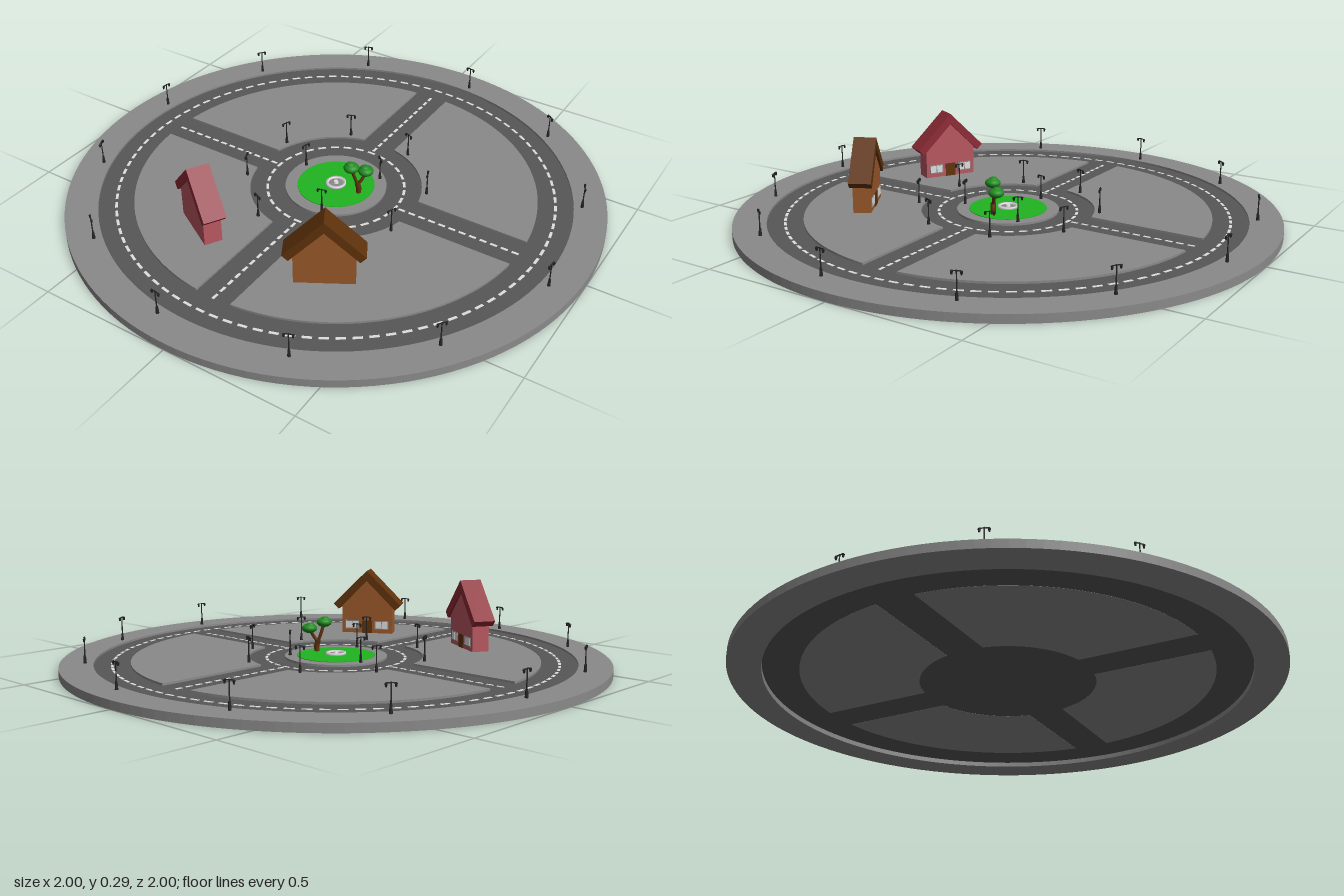
import * as THREE from 'three';

const mat = (name, color) => {
  const m = new THREE.MeshStandardMaterial({ color });
  m.name = name;
  return m;
};

export function createModel() {
  const M = {
    paving: mat('paving grey', 0x8a8a8a),
    road: mat('asphalt', 0x575757),
    white: mat('off white', 0xdedede),
    grass: mat('grass green', 0x22b422),
    leaf: mat('leaf green', 0x1e8c1e),
    redWall: mat('red wall', 0xb9575f),
    redRoof: mat('red roof', 0x8e2b36),
    brownWall: mat('brown wall', 0x9b592b),
    brownRoof: mat('dark brown', 0x5f320b),
    iron: mat('iron', 0x262626),
  };
  const root = new THREE.Group();
  root.name = 'roundaboutTown';
  const TOP = 0.03, ROAD = 0.022, BED = 0.018;

  const add = (parent, name, geo, material, x = 0, y = 0, z = 0) => {
    const m = new THREE.Mesh(geo, material);
    m.name = name;
    m.position.set(x, y, z);
    parent.add(m);
    return m;
  };
  const group = (parent, name) => {
    const g = new THREE.Group();
    g.name = name;
    parent.add(g);
    return g;
  };
  // Place on a circle: local x points outward, local z along the circle
  const polar = (obj, r, a) => {
    obj.position.x = r * Math.cos(a);
    obj.position.z = r * Math.sin(a);
    obj.rotation.y = -a;
  };
  const slab = (shape, y0, y1) => new THREE.ExtrudeGeometry(shape,
    { depth: y1 - y0, bevelEnabled: false, curveSegments: 64 }).rotateX(-Math.PI / 2).translate(0, y0, 0);
  const ring = (outer, inner, y0, y1) => {
    const s = new THREE.Shape().absarc(0, 0, outer, 0, Math.PI * 2, false);
    s.holes.push(new THREE.Path().absarc(0, 0, inner, 0, Math.PI * 2, true));
    return slab(s, y0, y1);
  };

  // Ground: outer pavement, recessed road bed, four blocks, centre island
  add(root, 'outerPavement', ring(1, 0.88, 0, TOP), M.paving);
  add(root, 'roadBed', new THREE.CylinderGeometry(0.88, 0.88, ROAD - BED, 128), M.road, 0, (ROAD + BED) / 2, 0);
  const h = 0.07, ro = 0.75, ri = 0.322;
  const ao = Math.asin(h / ro), ai = Math.asin(h / ri);
  for (let i = 0; i < 4; i++) {
    const s = new THREE.Shape();
    s.absarc(0, 0, ro, ao, Math.PI / 2 - ao, false);
    s.absarc(0, 0, ri, Math.PI / 2 - ai, ai, true);
    s.closePath();
    const block = add(root, 'pavedBlock', slab(s, BED - 0.0005, TOP), M.paving);
    block.rotation.y = i * Math.PI / 2;
  }
  add(root, 'islandPavement', new THREE.CylinderGeometry(0.19, 0.19, TOP - ROAD, 64), M.paving, 0, (TOP + ROAD) / 2, 0);
  add(root, 'lawn', new THREE.CylinderGeometry(0.145, 0.145, 0.004, 64), M.grass, 0, TOP, 0);

  // Dashed road markings
  const marks = group(root, 'roadMarkings');
  const dashRing = (r, n) => {
    const geo = new THREE.BoxGeometry(0.01, 0.002, (Math.PI * 2 * r / n) * 0.62);
    for (let i = 0; i < n; i++) polar(add(marks, 'dash', geo, M.white, 0, ROAD + 0.0005, 0), r, (i / n) * Math.PI * 2);
  };
  dashRing(0.815, 96);
  dashRing(0.257, 32);
  const dash = new THREE.BoxGeometry(0.026, 0.002, 0.01);
  for (let k = 0; k < 4; k++)
    for (let i = 0; i < 12; i++)
      polar(add(marks, 'dash', dash, M.white, 0, ROAD + 0.0005, 0), 0.285 + i * 0.041, k * Math.PI / 2);

  // Fountain
  const fountain = group(root, 'fountain');
  const rim = [[0.028, 0], [0.038, 0], [0.038, 0.011], [0.028, 0.011], [0.028, 0]].map(p => new THREE.Vector2(...p));
  add(fountain, 'basinRim', new THREE.LatheGeometry(rim, 24), M.white, 0, TOP, 0);
  add(fountain, 'basinFloor', new THREE.CylinderGeometry(0.029, 0.029, 0.006, 24), M.paving, 0, TOP + 0.003, 0);
  add(fountain, 'spout', new THREE.CylinderGeometry(0.008, 0.012, 0.014, 12), M.white, 0, TOP + 0.007, 0);

  // Street lamps with two lanterns on a crossbar along the kerb
  const baseGeo = new THREE.CylinderGeometry(0.004, 0.006, 0.028, 8);
  const poleGeo = new THREE.CylinderGeometry(0.002, 0.0025, 0.095, 8);
  const barGeo = new THREE.BoxGeometry(0.003, 0.003, 0.034);
  const lanternGeo = new THREE.CylinderGeometry(0.005, 0.003, 0.011, 6);
  const lamps = (count, r, offset) => {
    for (let i = 0; i < count; i++) {
      const g = group(root, 'streetLamp');
      add(g, 'lampBase', baseGeo, M.iron, 0, TOP + 0.014, 0);
      add(g, 'lampPole', poleGeo, M.iron, 0, TOP + 0.0475, 0);
      add(g, 'crossbar', barGeo, M.iron, 0, 0.122, 0);
      for (const s of [-1, 1]) add(g, 'lantern', lanternGeo, M.iron, 0, 0.115, s * 0.015);
      polar(g, r, (offset + i * 360 / count) * Math.PI / 180);
    }
  };
  lamps(12, 0.91, 6.4);
  lamps(8, 0.342, 22.5);
  lamps(3, 0.17, 75);

  // Houses: gable front faces the island
  const house = (name, x, z, turn, wall, roof) => {
    const g = group(root, name);
    const w = 0.105, d = 0.066, eave = 0.113, apex = 0.218;
    const s = new THREE.Shape([[-w, 0], [w, 0], [w, eave], [0, apex], [-w, eave]].map(p => new THREE.Vector2(...p)));
    add(g, 'walls', new THREE.ExtrudeGeometry(s, { depth: d, bevelEnabled: false }), wall, 0, 0, -d / 2);
    const t = 0.03 * Math.SQRT2, e = 0.119, c = 0.021;
    const r = new THREE.Shape([[0, apex + t], [-e - c, apex + t - e - c], [-e, apex - e], [0, apex],
      [e, apex - e], [e + c, apex + t - e - c]].map(p => new THREE.Vector2(...p)));
    add(g, 'roof', new THREE.ExtrudeGeometry(r, { depth: 0.084, bevelEnabled: false }), roof, 0, 0, -0.042);
    add(g, 'door', new THREE.BoxGeometry(0.042, 0.052, 0.006), M.brownRoof, 0, 0.026, d / 2);
    for (const k of [-1, 1]) {
      add(g, 'windowFrame', new THREE.BoxGeometry(0.058, 0.036, 0.004), M.paving, k * 0.062, 0.034, d / 2);
      for (const j of [-1, 1])
        add(g, 'windowPane', new THREE.BoxGeometry(0.024, 0.028, 0.007), M.white, k * 0.062 + j * 0.0135, 0.034, d / 2);
    }
    g.position.set(x, TOP, z);
    g.rotation.y = turn;
  };
  house('redHouse', -0.262, 0.472, Math.PI * 5 / 6, M.redWall, M.redRoof);
  house('brownHouse', 0.255, 0.466, -Math.PI * 5 / 6, M.brownWall, M.brownRoof);

  // Tree with a forked trunk and two flattened crowns
  const tree = group(root, 'tree');
  const limb = (name, pts, r) => add(tree, name, new THREE.TubeGeometry(
    new THREE.CatmullRomCurve3(pts.map(p => new THREE.Vector3(...p))), 10, r, 8), M.brownRoof);
  limb('trunk', [[0.098, 0.025, 0], [0.1, 0.05, 0], [0.094, 0.075, 0.002]], 0.01);
  limb('leftBranch', [[0.095, 0.068, 0.001], [0.086, 0.095, 0.006], [0.077, 0.14, 0.016]], 0.006);
  limb('rightBranch', [[0.096, 0.068, 0.001], [0.108, 0.088, -0.008], [0.115, 0.115, -0.022]], 0.006);
  const crown = new THREE.SphereGeometry(1, 16, 12);
  for (const [x, y, z] of [[0.077, 0.143, 0.016], [0.115, 0.12, -0.024]]) {
    add(tree, 'crown', crown, M.leaf, x, y, z).scale.set(0.029, 0.018, 0.029);
    add(tree, 'crownTop', crown, M.leaf, x - 0.004, y + 0.01, z).scale.set(0.018, 0.012, 0.018);
  }
  return root;
}
